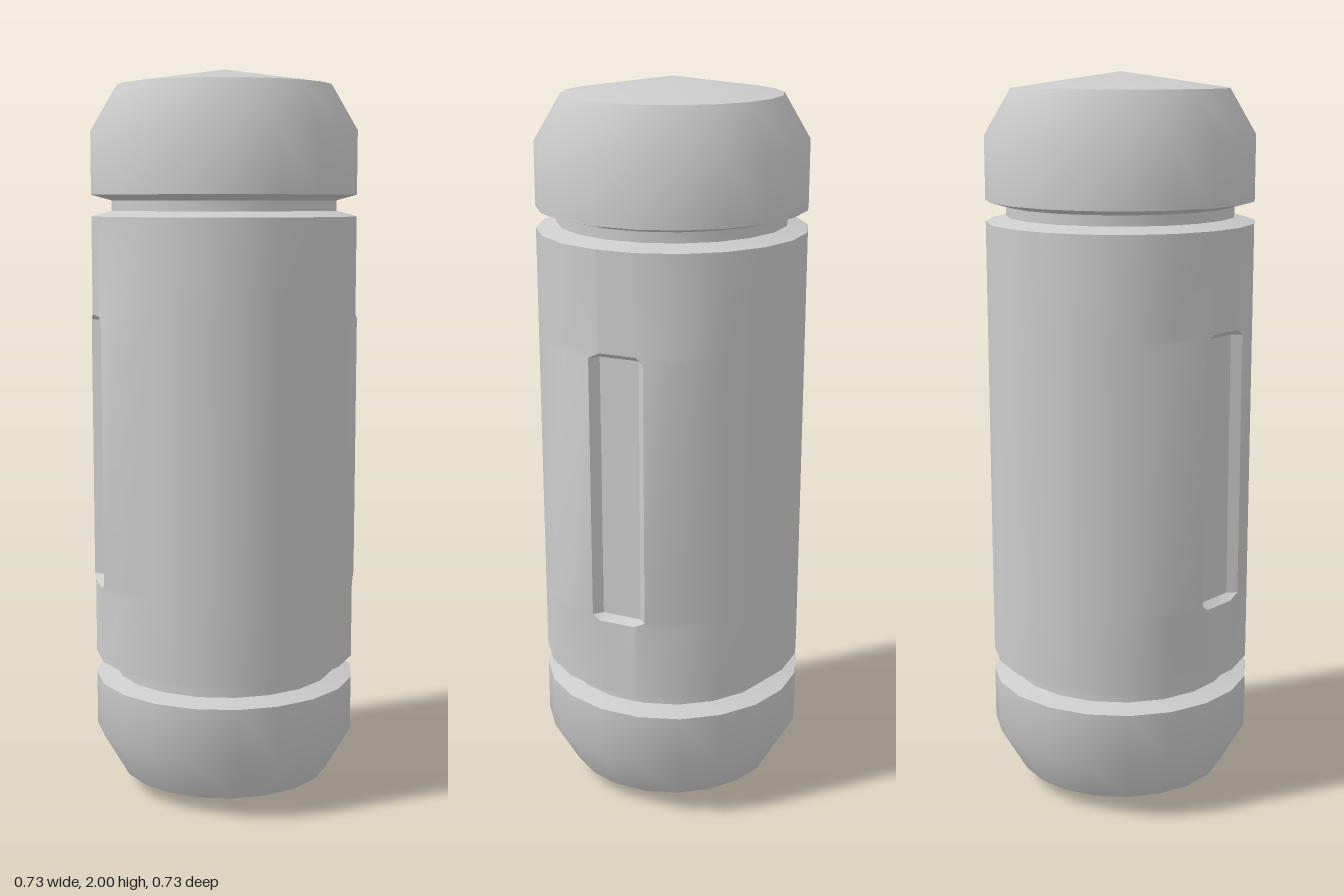
import * as THREE from 'three';
import { toCreasedNormals } from 'three/addons/utils/BufferGeometryUtils.js';

const SIDES = 20, R = 0.365, CREASE = 0.62;
const material = new THREE.MeshStandardMaterial({ color: 0xcccccc, side: THREE.DoubleSide });

function addMesh(parent, name, geometry) {
  const mesh = new THREE.Mesh(toCreasedNormals(geometry, CREASE), material);
  mesh.name = name;
  parent.add(mesh);
}

// Turned end piece: pointed face, bevel, band and the groove next to the body
function endCap(profile) {
  return new THREE.LatheGeometry(profile.map(([r, y]) => new THREE.Vector2(r, y)), SIDES);
}

// Ring of the body; slotted rings have two lipped recesses on opposite sides
function ring(slotted) {
  const points = [];
  const lip = slotted ? [0.36, 0.077] : [R * Math.cos(Math.PI / SIDES), R * Math.sin(Math.PI / SIDES)];
  const floor = slotted ? [0.338, 0.055] : [lip[0], 0.045];
  for (let k = 0; k < SIDES; k++) {
    const a = (k / SIDES) * Math.PI * 2;
    const m = k % 10;
    if (m === 2 || m === 3) {
      const s = m === 2 ? -1 : 1;
      const c = Math.PI / 4 + (k >= 10 ? Math.PI : 0);
      const pair = m === 2 ? [lip, floor] : [floor, lip];
      for (const [out, side] of pair) {
        points.push([
          out * Math.cos(c) - s * side * Math.sin(c),
          -out * Math.sin(c) - s * side * Math.cos(c),
        ]);
      }
    } else {
      points.push([R * Math.cos(a), -R * Math.sin(a)]);
    }
  }
  return points;
}

// Joins the rings from bottom to top
function loft(rows) {
  const pos = [], index = [];
  const n = ring(false).length;
  for (const [y, slotted] of rows) for (const [x, z] of ring(slotted)) pos.push(x, y, z);
  for (let i = 0; i < rows.length - 1; i++) {
    for (let j = 0; j < n; j++) {
      const a = i * n + j, b = i * n + ((j + 1) % n);
      index.push(a, b, b + n, a, b + n, a + n);
    }
  }
  const g = new THREE.BufferGeometry();
  g.setAttribute('position', new THREE.Float32BufferAttribute(pos, 3));
  g.setIndex(index);
  return g;
}

export function createModel() {
  const group = new THREE.Group();
  group.name = 'canister';

  addMesh(group, 'bottomCap', endCap([
    [0, 0], [0.293, 0.045], [R, 0.17], [R, 0.32], [0.31, 0.335], [0.31, 0.368], [R, 0.383],
  ]));

  addMesh(group, 'slottedBody', loft([
    [0.383, false], [0.59, false], [0.605, true], [1.325, true], [1.34, false], [1.607, false],
  ]));

  addMesh(group, 'topCap', endCap([
    [R, 1.607], [0.31, 1.622], [0.31, 1.65], [R, 1.665], [R, 1.835], [0.293, 1.957], [0, 2],
  ]));

  return group;
}
